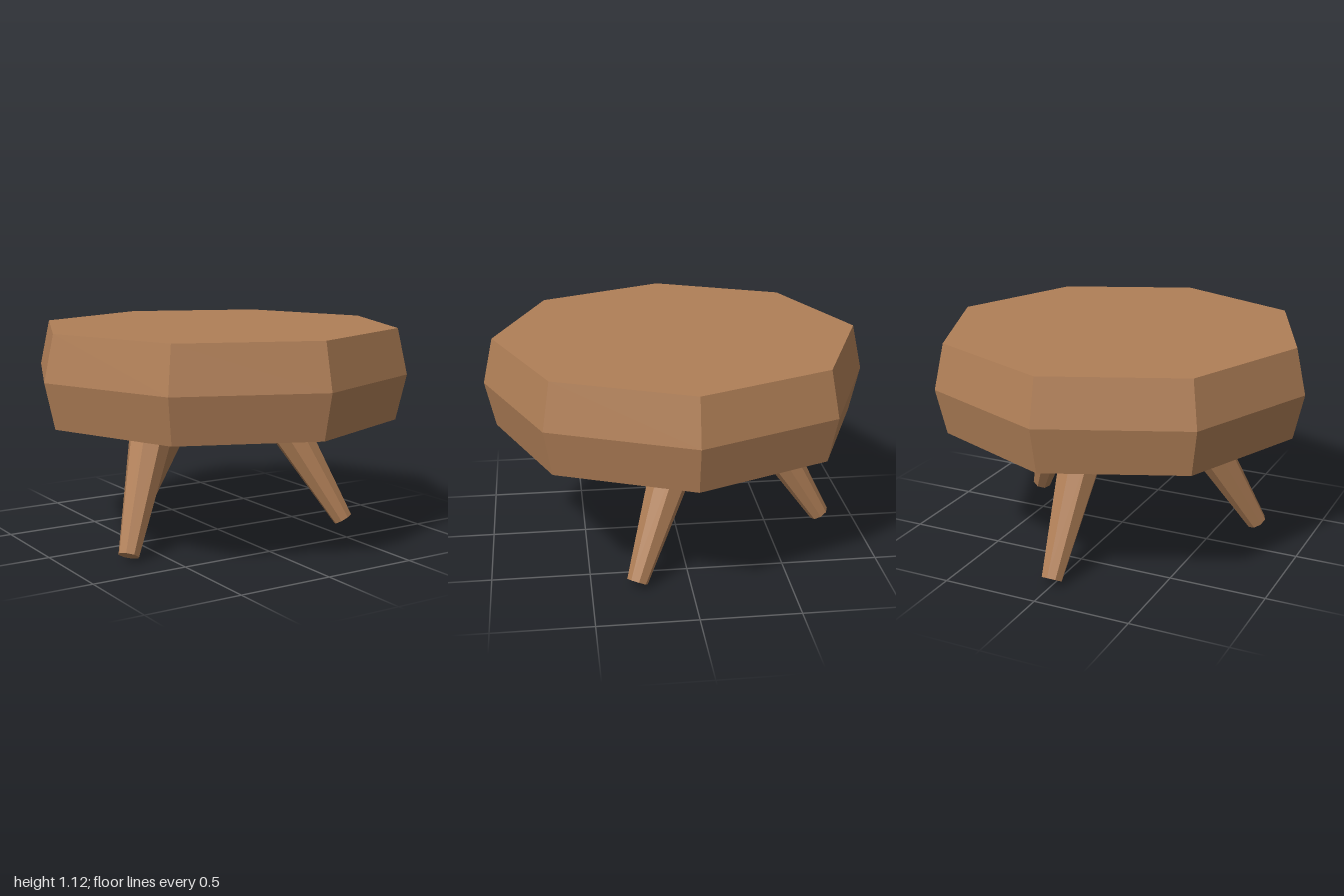
import * as THREE from 'three';

export function createModel() {
  const group = new THREE.Group();
  const wood = new THREE.MeshStandardMaterial({ color: 0xb07f57, flatShading: true });
  wood.name = 'wood';
  const darkWood = new THREE.MeshStandardMaterial({ color: 0x3f2c10, flatShading: true });
  darkWood.name = 'darkWood';

  const add = (name, geometry, material) => {
    const mesh = new THREE.Mesh(geometry, material);
    mesh.name = name;
    group.add(mesh);
    return mesh;
  };

  // Octagonal seat: rim widest at mid height, flat top
  const profile = [[0.947, 0.65], [1, 0.887], [0.947, 1.125], [0, 1.125]]
    .map(([r, y]) => new THREE.Vector2(r, y));
  add('seat', new THREE.LatheGeometry(profile, 8), wood);

  // Dark underside
  const underside = add('seatUnderside', new THREE.CircleGeometry(0.947, 8), darkWood);
  underside.rotation.x = Math.PI / 2;
  underside.position.y = 0.65;

  // Splayed, tapered legs from foot to a point just inside the seat
  const up = new THREE.Vector3(0, 1, 0);
  const leg = (name, foot, top) => {
    const a = new THREE.Vector3(...foot);
    const axis = new THREE.Vector3(...top).sub(a);
    const length = axis.length();
    const mesh = add(name, new THREE.CylinderGeometry(0.133, 0.054, length, 8), wood);
    mesh.position.copy(a).addScaledVector(axis, 0.5);
    mesh.quaternion.setFromUnitVectors(up, axis.normalize());
  };
  leg('frontRightLeg', [-0.69, 0.03, 0.27], [-0.36, 0.75, -0.015]);
  leg('frontLeftLeg', [0.653, 0.03, 0.27], [0.318, 0.75, -0.015]);
  leg('backLeg', [0.005, 0.03, -0.812], [0.003, 0.75, -0.37]);

  return group;
}
